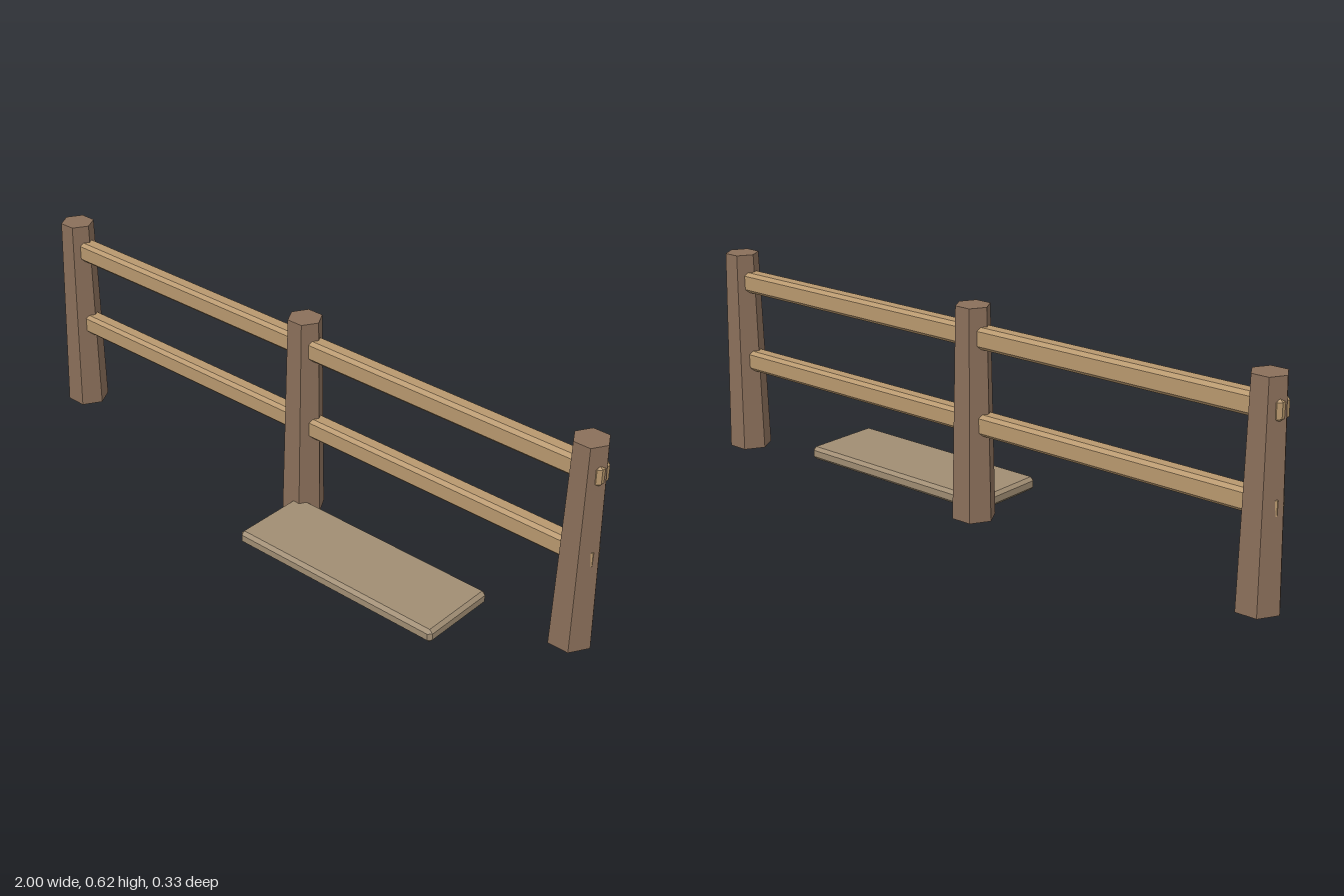
import * as THREE from 'three';
import { ConvexGeometry } from 'three/addons/geometries/ConvexGeometry.js';

const material = (color) => new THREE.MeshStandardMaterial({ color, flatShading: true });

// Box with every edge and corner chamfered by c
function chamferBox(w, h, d, c) {
  const points = [];
  for (const x of [-1, 1]) for (const y of [-1, 1]) for (const z of [-1, 1]) {
    const a = w / 2, b = h / 2, e = d / 2;
    points.push(
      new THREE.Vector3(x * a, y * (b - c), z * (e - c)),
      new THREE.Vector3(x * (a - c), y * b, z * (e - c)),
      new THREE.Vector3(x * (a - c), y * (b - c), z * e),
    );
  }
  return new ConvexGeometry(points);
}

export function createModel() {
  const model = new THREE.Group();
  model.name = 'fence';
  const add = (name, geometry, mat, x, y, z) => {
    const mesh = new THREE.Mesh(geometry, mat);
    mesh.name = name;
    mesh.position.set(x, y, z);
    model.add(mesh);
  };

  const postWood = material(0x8a6f5a);
  const railWood = material(0xb8986e);
  const plankWood = material(0xa08d73);
  const fenceZ = -0.108;
  const postHeight = 0.615;

  // Tapered six-sided posts, an edge pointing along the fence
  const postGeometry = new THREE.CylinderGeometry(0.05, 0.0635, postHeight, 6, 1, false, Math.PI / 6);
  const posts = { rightPost: -0.9365, middlePost: 0, leftPost: 0.9365 };
  for (const [name, x] of Object.entries(posts)) {
    add(name, postGeometry, postWood, x, postHeight / 2, fenceZ);
  }

  // Rails, their ends just breaking through the outer posts
  const railGeometry = chamferBox(1.972, 0.062, 0.052, 0.01);
  add('upperRail', railGeometry, railWood, 0, 0.53, fenceZ);
  add('lowerRail', railGeometry, railWood, 0, 0.283, fenceZ);

  // Plank lying on the ground in front
  add('groundPlank', chamferBox(0.685, 0.04, 0.247, 0.01), plankWood, 0.342, 0.02, 0.0395);

  return model;
}
